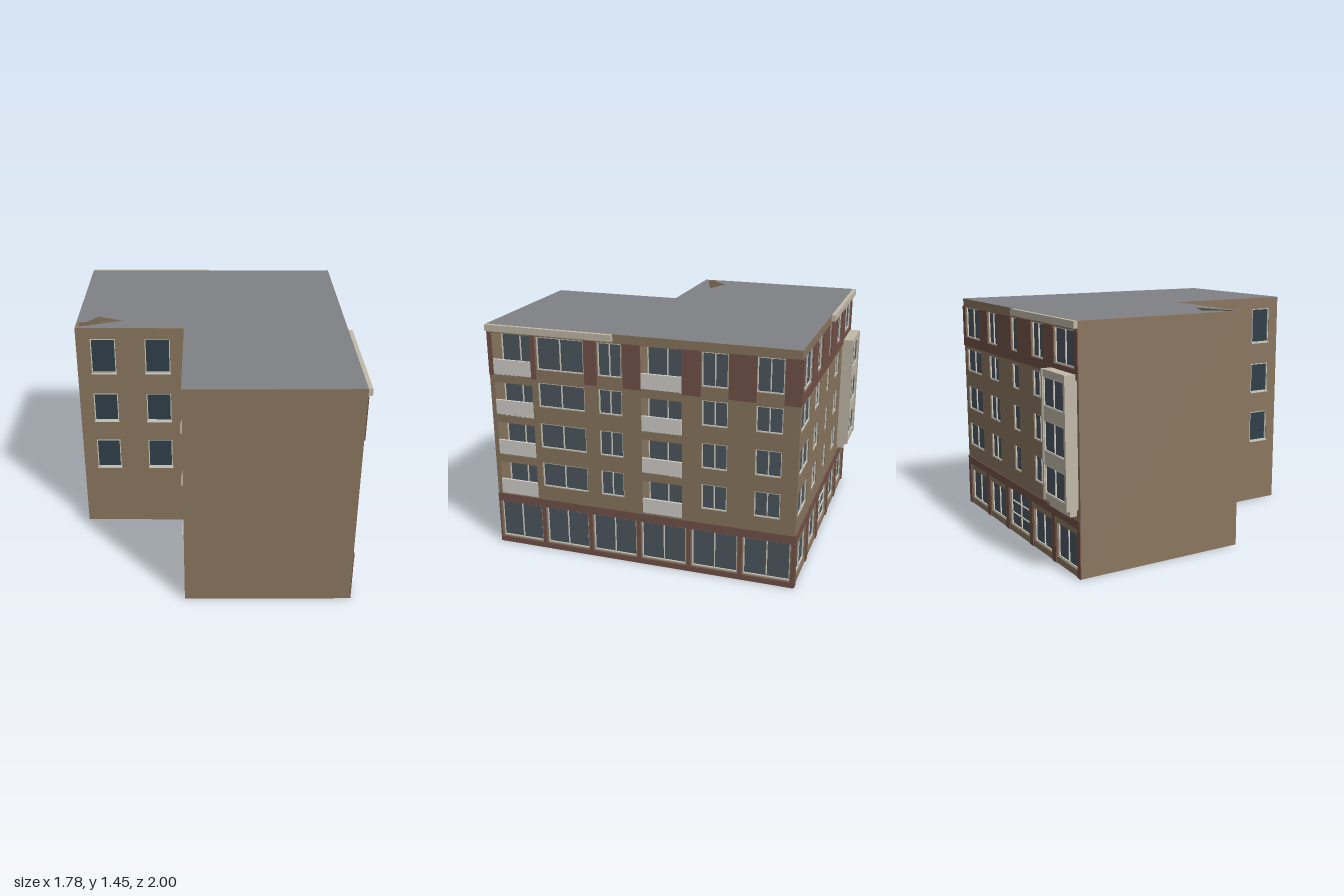
import * as THREE from 'three';

const H = 1.45;
const paint = (color, side = THREE.FrontSide) => new THREE.MeshStandardMaterial({ color, side, roughness: 0.9 });
const MAT = {
  wall: paint(0x89765f, THREE.DoubleSide),
  roof: paint(0x808185, THREE.DoubleSide),
  shadow: paint(0x4c4c4e, THREE.DoubleSide),
  red: paint(0x735249),
  glass: paint(0x4d5860, THREE.DoubleSide),
  darkGlass: paint(0x2f3f49, THREE.DoubleSide),
  trim: paint(0xcfcec3),
  rail: paint(0xd2d1cd),
  stone: paint(0xc2baa9),
};

// Footprint corners as [x, z]
const P = {
  backLeft: [-0.89, -0.92], backRight: [0.82, -0.955], frontRight: [0.865, 0.975],
  frontInner: [-0.155, 1.0], inner: [-0.18, 0.15], wingFront: [-0.865, 0.16],
};

// Box between two corners in wall space: u along, y up, z outward
function box(g, name, mat, u0, u1, y0, y1, z0, z1) {
  const m = new THREE.Mesh(new THREE.BoxGeometry(u1 - u0, y1 - y0, z1 - z0), mat);
  m.position.set((u0 + u1) / 2, (y0 + y1) / 2, (z0 + z1) / 2);
  m.name = name;
  g.add(m);
}

function pane(g, name, mat, u0, u1, y0, y1, z) {
  const m = new THREE.Mesh(new THREE.PlaneGeometry(u1 - u0, y1 - y0), mat);
  m.position.set((u0 + u1) / 2, (y0 + y1) / 2, z);
  m.name = name;
  g.add(m);
}

// Glass with outer frame and evenly spaced bars
function glazing(g, [u0, u1, y0, y1], z, { cols = 2, rows = 1, glass = MAT.glass } = {}) {
  const w = new THREE.Group(), t = 0.006;
  w.name = 'window';
  pane(w, 'glass', glass, u0, u1, y0, y1, z);
  for (let i = 0; i <= cols; i++) {
    const u = u0 + (u1 - u0 - t) * i / cols;
    box(w, 'upright', MAT.trim, u, u + t, y0, y1, z - 0.004, z + 0.008);
  }
  for (let j = 0; j <= rows; j++) {
    const y = y0 + (y1 - y0 - t) * j / rows;
    box(w, 'crossbar', MAT.trim, u0, u1, y, y + t, z - 0.004, z + 0.008);
  }
  g.add(w);
}

// Wall from corner a to b (left to right seen from outside) with openings
function makeWall(name, a, b, openings = []) {
  const g = new THREE.Group(), dx = b[0] - a[0], dz = b[1] - a[1], L = Math.hypot(dx, dz);
  g.name = name;
  g.position.set(a[0], 0, a[1]);
  g.rotation.y = Math.atan2(-dz, dx);
  const rect = (C, u0, u1, y0, y1) => new C([[u0, y0], [u1, y0], [u1, y1], [u0, y1]].map(p => new THREE.Vector2(...p)));
  const s = rect(THREE.Shape, 0, L, 0, H);
  s.holes = openings.map(o => rect(THREE.Path, ...o));
  const geo = new THREE.ExtrudeGeometry(s, { depth: 0.02, bevelEnabled: false });
  const m = new THREE.Mesh(geo.translate(0, 0, -0.02), MAT.wall);
  m.name = 'masonry';
  g.add(m);
  return { g, L };
}

// Every column span combined with every storey span
const grid = (cols, storeys) => cols.flatMap(c => storeys.map(s => [...c, ...s]));
const STOREYS = [[0.43, 0.59], [0.69, 0.85], [0.955, 1.11], [1.19, 1.395]];

function rightFacade() {
  const windows = grid([[0.325, 0.63], [0.72, 0.87], [1.36, 1.515], [1.68, 1.835]], STOREYS);
  const balconies = grid([[0.03, 0.285], [0.99, 1.24]], [[0.35, 0.56], [0.615, 0.825], [0.88, 1.085], [1.14, 1.395]]);
  const shops = [];
  for (let i = 0; i < 6; i++) shops.push([0.016 + i * 0.321, 0.3 + i * 0.321, 0.04, 0.285]);
  const { g, L } = makeWall('rightFacade', P.frontRight, P.backRight, [...windows, ...balconies, ...shops]);
  windows.forEach(w => glazing(g, w, -0.014));
  shops.forEach(w => glazing(g, w, -0.018));

  // Recessed balconies with solid parapets
  for (const [u0, u1, y0, y1] of balconies) {
    const n = new THREE.Group(), d = -0.12, t = 0.006;
    n.name = 'balcony';
    box(n, 'balconyFloor', MAT.rail, u0, u1, y0 - t, y0, d, 0);
    box(n, 'balconyCeiling', MAT.wall, u0, u1, y1, y1 + t, d, -0.02);
    box(n, 'balconySide', MAT.wall, u0 - t, u0, y0, y1, d, -0.02);
    box(n, 'balconySide', MAT.wall, u1, u1 + t, y0, y1, d, -0.02);
    box(n, 'parapet', MAT.rail, u0, u1, y0, y0 + 0.093, -0.012, 0.002);
    glazing(n, [u0, u1, y0, y1], d);
    g.add(n);
  }

  // Ground floor surround
  box(g, 'baseBand', MAT.red, 0, L, 0.288, 0.34, 0, 0.006);
  box(g, 'plinth', MAT.red, 0, L, 0, 0.035, 0, 0.005);
  for (let i = 0; i <= 6; i++) {
    const c = i * 0.321;
    box(g, 'pilaster', MAT.red, Math.max(0, c - 0.014), Math.min(L, c + 0.01), 0, 0.3, 0, 0.005);
  }
  // Top storey panels between openings
  for (const [u0, u1] of [[0, 0.03], [0.285, 0.318], [0.635, 0.715], [0.88, 0.99], [1.24, 1.355], [1.52, 1.68], [1.84, L]])
    box(g, 'topPanel', MAT.red, u0, u1, 1.13, 1.4, 0, 0.006);
  box(g, 'cornice', MAT.stone, 0, 0.82, 1.41, H, 0, 0.025);
  return g;
}

function backFacade() {
  const cols = [[0.045, 0.3], [0.44, 0.6], [0.82, 0.915], [1.12, 1.285]];
  const last = [1.42, 1.675], top = STOREYS[3];
  const windows = [...grid(cols, STOREYS), [...last, ...top]];
  const shops = [[0.05, 0.325], [0.4, 0.65], [0.72, 1.02], [1.09, 1.34], [1.41, 1.665]]
    .map(([u0, u1], i) => [u0, u1, 0.04, i === 2 ? 0.285 : 0.25]);
  const { g, L } = makeWall('backFacade', P.backRight, P.backLeft, [...windows, ...shops]);
  windows.forEach(w => glazing(g, w, -0.014, { cols: w[1] - w[0] < 0.1 ? 1 : 2 }));
  shops.forEach((w, i) => glazing(g, w, -0.018, i === 2 ? { cols: 2, rows: 3 } : {}));

  // Ground floor surround
  box(g, 'baseBand', MAT.red, 0, L, 0.288, 0.34, 0, 0.006);
  for (const [u0, u1] of [[0, 0.04], [0.335, 0.39], [0.66, 0.71], [1.03, 1.08], [1.35, 1.4], [1.675, L]])
    box(g, 'pilaster', MAT.red, u0, u1, 0, 0.3, 0, 0.006);

  // Top storey band, interrupted by windows
  box(g, 'topBand', MAT.red, 0, L, 1.13, 1.188, 0, 0.006);
  let from = 0;
  for (const [u0, u1] of [...cols, last, [L, L]]) {
    box(g, 'topPanel', MAT.red, from, u0, 1.188, 1.4, 0, 0.006);
    from = u1;
  }
  box(g, 'cornice', MAT.stone, 0.87, L, 1.41, H, 0, 0.025);

  // Projecting bay
  const bay = new THREE.Group(), b0 = 1.39, b1 = 1.69;
  bay.name = 'bayWindow';
  box(bay, 'bayBody', MAT.stone, b0 + 0.01, b1 - 0.01, 0.4, 1.15, 0, 0.055);
  box(bay, 'bayFoot', MAT.stone, b0 + 0.02, b1 - 0.02, 0.36, 0.4, 0, 0.045);
  for (const u of [b0, b1 - 0.02]) box(bay, 'baySide', MAT.stone, u, u + 0.02, 0.4, 1.16, 0, 0.075);
  for (const [y0, y1] of [[0.4, 0.44], [0.61, 0.69], [0.87, 0.95], [1.12, 1.16]])
    box(bay, 'baySpandrel', MAT.stone, b0 + 0.02, b1 - 0.02, y0, y1, 0, 0.07);
  for (const [y0, y1] of [[0.44, 0.61], [0.69, 0.87], [0.95, 1.12]])
    glazing(bay, [b0 + 0.02, b1 - 0.02, y0, y1], 0.06);
  g.add(bay);
  return g;
}

// Courtyard walls with plain framed windows and sills
function courtWall(name, a, b, cols) {
  const windows = grid(cols, [[0.435, 0.645], [0.79, 0.99], [1.14, 1.375]]);
  const { g } = makeWall(name, a, b, windows);
  for (const w of windows) {
    glazing(g, w, -0.01, { cols: 1, glass: MAT.darkGlass });
    box(g, 'sill', MAT.trim, w[0] - 0.003, w[1] + 0.003, w[2] - 0.006, w[2], -0.01, 0.01);
  }
  return g;
}

// Flat horizontal surface from an outline of [x, z] points
function slab(name, mat, y, outline) {
  const s = new THREE.Shape(outline.map(([x, z]) => new THREE.Vector2(x, -z)));
  const m = new THREE.Mesh(new THREE.ShapeGeometry(s).rotateX(-Math.PI / 2), mat);
  m.position.y = y;
  m.name = name;
  return m;
}

export function createModel() {
  const model = new THREE.Group();
  model.name = 'cornerApartmentBuilding';
  // Irregular notch in the roof near the wing corner
  const notch = [[-0.864, 0.145], [-0.575, 0.037], [-0.735, -0.03], [-0.81, 0.07], [-0.867, 0.06]];
  model.add(
    rightFacade(),
    backFacade(),
    courtWall('wingFrontWall', P.wingFront, P.inner, [[0.09, 0.248], [0.435, 0.595]]),
    courtWall('courtyardWall', P.inner, P.frontInner, [[0.06, 0.205], [0.345, 0.49], [0.63, 0.775]]),
    makeWall('leftWall', P.backLeft, P.wingFront).g,
    makeWall('frontWall', P.frontInner, P.frontRight).g,
    slab('roof', MAT.roof, H + 0.001, [...Object.values(P), ...notch]),
    slab('notchFloor', MAT.shadow, 1.15, [[-0.85, -0.06], [-0.55, -0.06], [-0.55, 0.14], [-0.85, 0.14]]),
  );
  return model;
}
